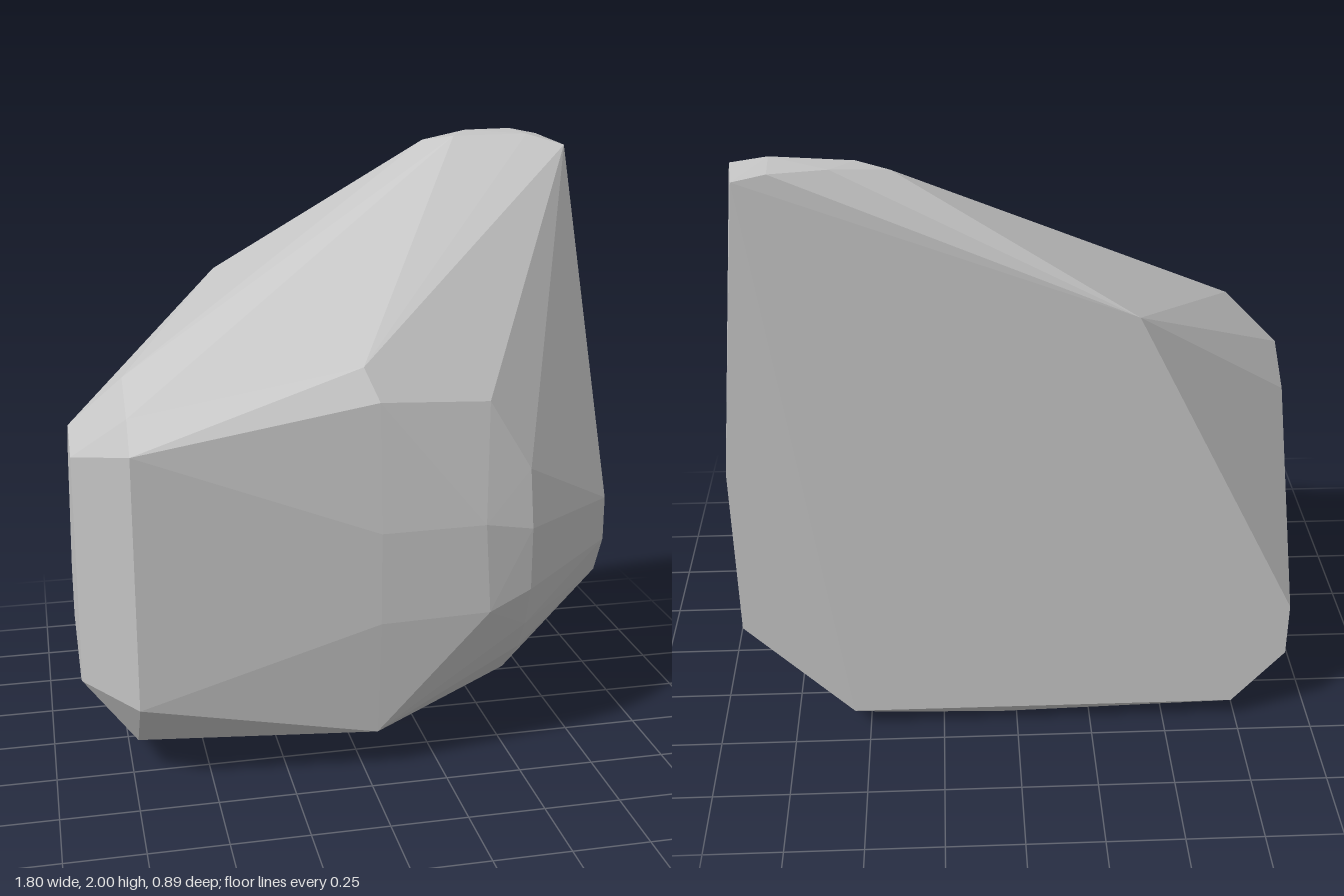
import * as THREE from 'three';
import { ConvexGeometry } from 'three/addons/geometries/ConvexGeometry.js';

// Cross-sections of the boulder at fixed x, each a list of [y, z] corners
const sections = [
  // flat left-hand cut
  { x: -0.9, corners: [[0.28, -0.445], [0.47, -0.445], [1.07, -0.04], [1.165, 0.12], [1.09, 0.22], [0.33, 0.22], [0.27, 0.08]] },
  // bevel behind that cut
  { x: -0.73, corners: [[0.08, -0.445], [0.11, 0.24], [0.29, 0.393], [1.13, 0.393], [1.23, 0.32], [1.325, 0.18]] },
  // middle ridge of the front and belly
  { x: 0.04, corners: [[0.14, 0.4], [0.035, 0.18], [0.005, -0.1], [0.005, -0.38], [0.54, 0.442], [0.845, 0.442], [1.26, 0.405]] },
  // rounded shoulder
  { x: 0.55, corners: [[0.08, -0.445], [0.09, -0.15], [0.13, 0], [0.2, 0.13], [0.35, 0.29], [0.46, 0.355], [0.6, 0.4], [0.81, 0.4], [1.0, 0.36]] },
  // flat right-hand cut
  { x: 0.9, corners: [[0.43, -0.43], [0.39, -0.32], [0.38, -0.16], [0.43, -0.04], [0.51, 0.06], [0.65, 0.13], [0.8, 0.13], [1.05, -0.2], [1.03, -0.435]] },
];

// Single corners between the sections, as [x, y, z]
const frontCorners = [[0, 1.36, 0.345], [0.41, 1.23, 0.35], [0.38, 0.85, 0.442], [0.4, 0.55, 0.442]];
const crownCorners = [
  [0.36, 1.975, -0.35], [0.46, 1.99, -0.31], [0.71, 1.995, -0.28], [0.83, 1.96, -0.23],
  [0.53, 2, -0.41], [0.7, 2, -0.44], [0.8, 1.98, -0.445], [-0.36, 1.54, -0.445],
];
const bellyCorners = [[0.44, 0.02, -0.12], [0.42, 0.015, -0.38], [0.25, 0, -0.1]];

export function createModel() {
  const stone = new THREE.MeshStandardMaterial({ color: 0xc4c4c4 });
  stone.name = 'grey stone';

  const points = [...frontCorners, ...crownCorners, ...bellyCorners].map((p) => new THREE.Vector3(...p));
  for (const { x, corners } of sections) {
    for (const [y, z] of corners) points.push(new THREE.Vector3(x, y, z));
  }

  // The faceted hull around all corners
  const boulder = new THREE.Mesh(new ConvexGeometry(points), stone);
  boulder.name = 'boulder';

  const model = new THREE.Group();
  model.name = 'rock';
  model.add(boulder);
  return model;
}
